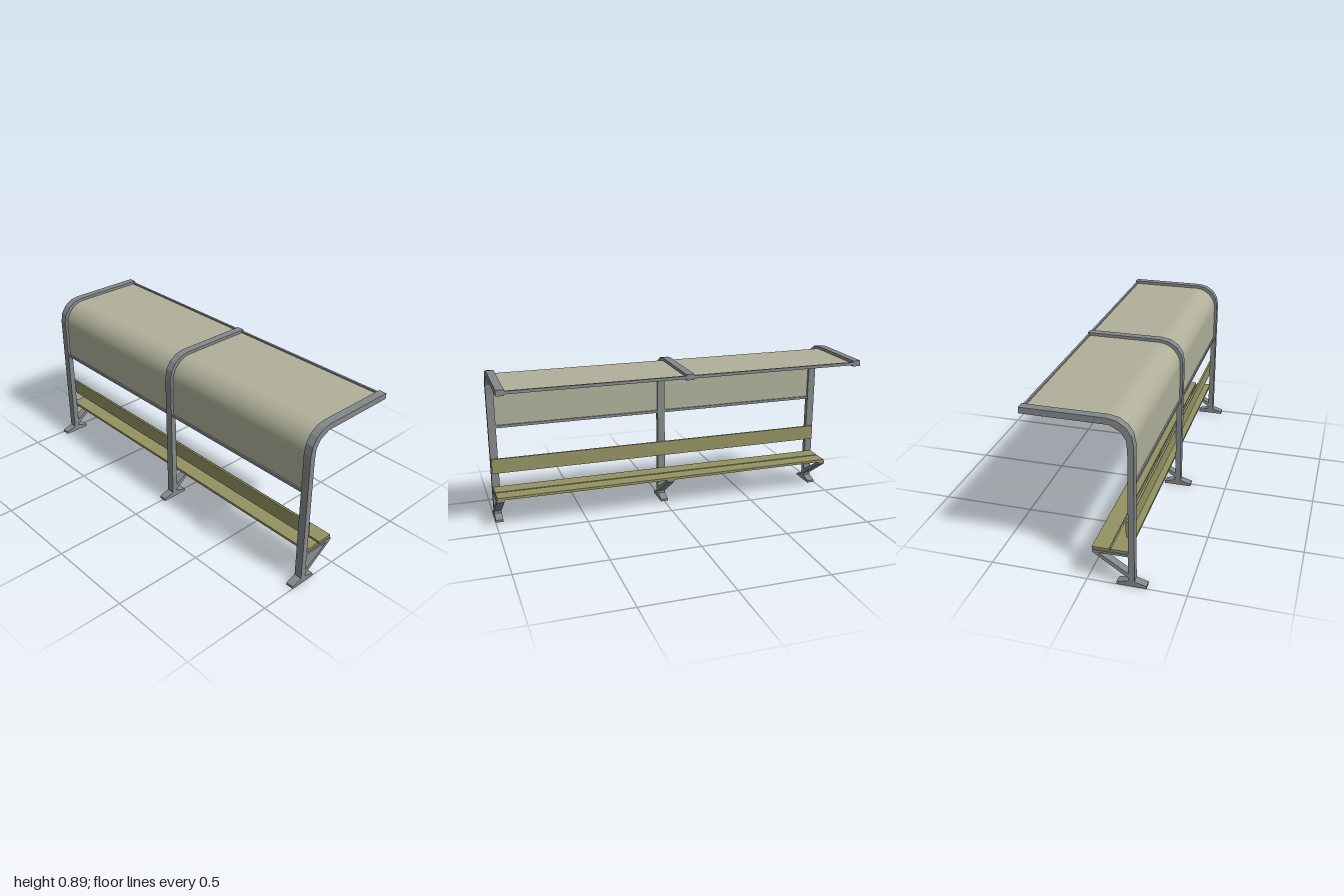
import * as THREE from 'three';

const steel = new THREE.MeshStandardMaterial({ color: 0x84888a });
steel.name = 'grey steel';
const panel = new THREE.MeshStandardMaterial({ color: 0xb0b09a, side: THREE.DoubleSide });
panel.name = 'canopy panel';
const wood = new THREE.MeshStandardMaterial({ color: 0x929262 });
wood.name = 'olive slats';

const BAR = 0.043;   // frame width along x

// Extrude a (z, y) side profile along x, centred on x = 0
function profile(name, points, width = BAR) {
  const shape = new THREE.Shape(points.map(([z, y]) => new THREE.Vector2(z, y)));
  const geo = new THREE.ExtrudeGeometry(shape, { depth: width, bevelEnabled: false });
  geo.translate(0, 0, -width / 2).rotateY(-Math.PI / 2);
  const mesh = new THREE.Mesh(geo, steel);
  mesh.name = name;
  return mesh;
}

// Box along x, given its z and y ranges
function bar(name, length, z0, z1, y0, y1, material) {
  const mesh = new THREE.Mesh(new THREE.BoxGeometry(length, y1 - y0, z1 - z0), material);
  mesh.position.set(0, (y0 + y1) / 2, (z0 + z1) / 2);
  mesh.name = name;
  return mesh;
}

function createFrame() {
  const frame = new THREE.Group();
  // Post bending into the roof arm
  frame.add(profile('postAndRoofArm', [
    [0.24, 0.02], [0.24, 0.765], [0.23, 0.815], [0.203, 0.855], [0.162, 0.882], [0.115, 0.891],
    [-0.3, 0.891], [-0.3, 0.86], [0.125, 0.859], [0.18, 0.831], [0.205, 0.79], [0.21, 0.73], [0.21, 0.02],
  ]));
  // Sloped foot
  frame.add(profile('foot', [
    [0.3, 0], [0.3, 0.013], [0.24, 0.031], [0.21, 0.031], [0.15, 0.013], [0.15, 0],
  ]));
  // Seat arm and diagonal strut
  frame.add(profile('seatArm', [[0.21, 0.167], [0.21, 0.18], [0.03, 0.18], [0.03, 0.167]]));
  frame.add(profile('seatStrut', [[0.21, 0.045], [0.21, 0.072], [0.06, 0.167], [0.03, 0.167]]));
  return frame;
}

// Curved sheet: rows of a plane laid along the roof curve, back edge first
function createCanopy() {
  const r = 0.125, cz = 0.1, cy = 0.75, steps = 16;
  const path = [[-0.296, cy + r], [cz - 0.02, cy + r]];
  for (let i = 0; i <= steps; i++) {
    const a = (Math.PI / 2) * (1 - i / steps);
    path.push([cz + r * Math.cos(a), cy + r * Math.sin(a)]);
  }
  path.push([cz + r, cy - 0.02], [cz + r, 0.54]);
  const geo = new THREE.PlaneGeometry(1.92, 1, 2, path.length - 1);
  const pos = geo.attributes.position;
  for (let i = 0; i < pos.count; i++) {
    const [z, y] = path[Math.floor(i / 3)];
    pos.setXYZ(i, pos.getX(i), y, z);
  }
  geo.computeVertexNormals();
  const mesh = new THREE.Mesh(geo, panel);
  mesh.name = 'canopySheet';
  return mesh;
}

export function createModel() {
  const model = new THREE.Group();
  model.name = 'shelterBench';

  // Three supporting frames
  [['rightFrame', -0.9785], ['middleFrame', -0.003], ['leftFrame', 0.9785]].forEach(([name, x]) => {
    const frame = createFrame();
    frame.name = name;
    frame.position.x = x;
    model.add(frame);
  });

  // Canopy with its edge rails
  model.add(createCanopy());
  model.add(bar('roofEdgeRail', 1.92, -0.299, -0.287, 0.867, 0.883, steel));
  model.add(bar('lowerEdgeRail', 1.92, 0.217, 0.233, 0.536, 0.551, steel));

  // Seat slats and backrest board
  model.add(bar('rearSeatSlat', 1.99, 0.122, 0.2095, 0.18, 0.194, wood));
  model.add(bar('outerSeatSlat', 1.99, 0.028, 0.113, 0.18, 0.194, wood));
  model.add(bar('backrestBoard', 1.99, 0.198, 0.2095, 0.276, 0.361, wood));

  return model;
}
